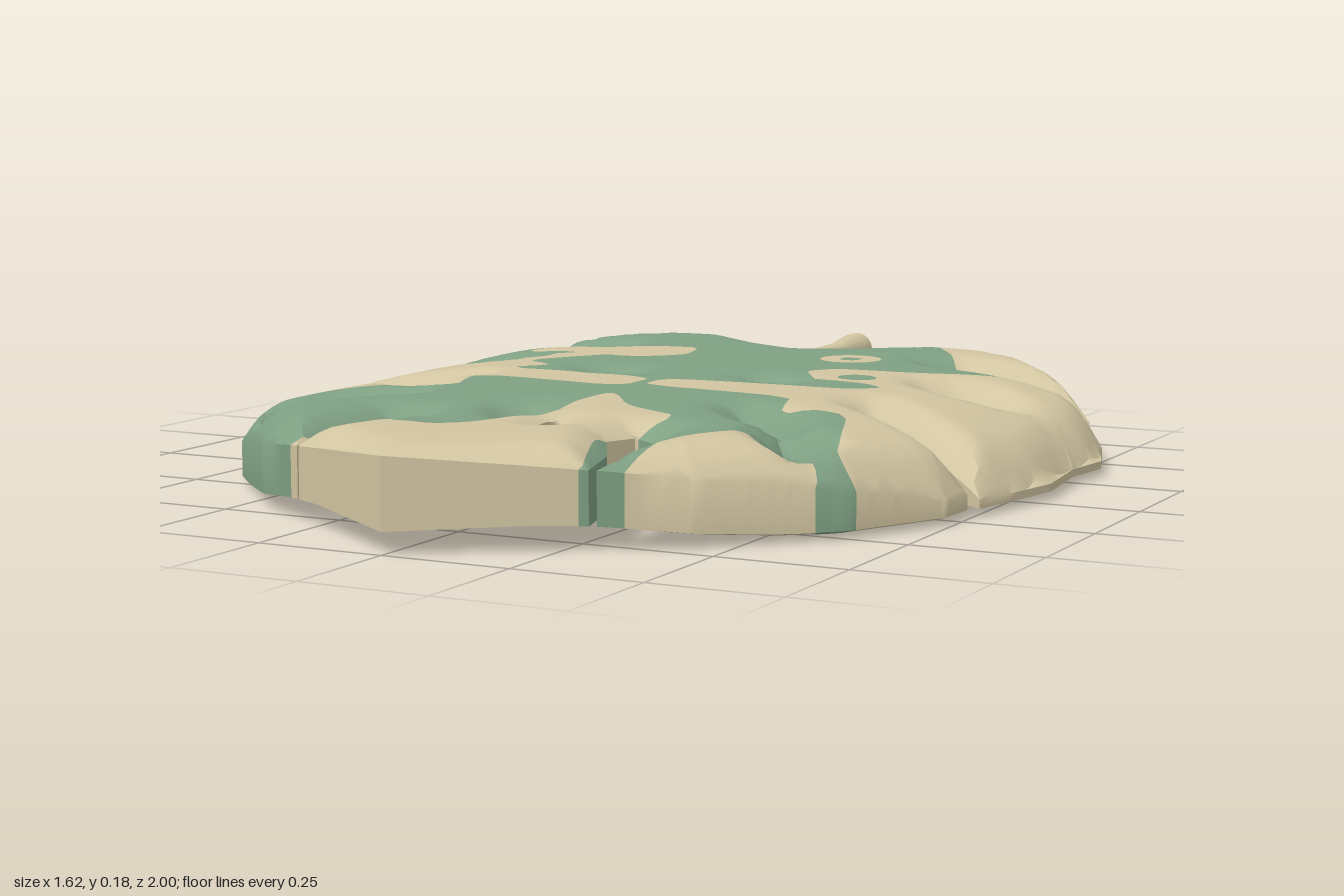
import * as THREE from 'three';
import { toCreasedNormals } from 'three/addons/utils/BufferGeometryUtils.js';

// All plan shapes are [x, z] pairs. The rim is mirrored except for its middle stretch.
const backRim = [[0.1, -0.75], [0.23, -0.86], [0.37, -0.87], [0.5, -0.82], [0.62, -0.71], [0.69, -0.613],
  [0.4, -0.63], [0.37, -0.585], [0.4, -0.555], [0.7, -0.575], [0.76, -0.49], [0.805, -0.35]];
const frontRim = [[0.745, 0.21], [0.74, 0.3], [0.64, 0.5], [0.44, 0.71], [0.305, 0.8], [0.3, 0.66],
  [0.28, 0.52], [0.22, 0.5], [0.2, 0.57], [0.26, 0.68], [0.295, 0.81]];
const rightMiddle = [[0.79, -0.23], [0.81, -0.05], [0.76, 0.19], [0.47, 0], [0.47, 0.04]];
const leftMiddle = [[-0.6, 0.115], [-0.42, 0], [-0.61, 0.1], [-0.745, 0.19], [-0.81, -0.05],
  [-0.77, -0.175], [-0.52, -0.26], [-0.81, -0.23]];
const mirrored = (rim) => rim.map(([x, z]) => [-x, z]).reverse();
const outline = [[0, -0.69], ...backRim, ...rightMiddle, ...frontRim, [0, 1],
  ...mirrored(frontRim), ...leftMiddle, ...mirrored(backRim)];

// Oval holes: x, z, half length, half width, turn
const holes = [
  [0.545, -0.3, 0.08, 0.05, 0.2], [-0.55, -0.315, 0.06, 0.03, 0], [-0.165, -0.15, 0.036, 0.026, 0.3],
  [0.18, -0.16, 0.03, 0.012, 0.2], [0.37, 0.28, 0.1, 0.025, 0.75], [0.505, 0.45, 0.08, 0.025, 0.95],
  [-0.53, 0.48, 0.065, 0.018, -1.15], [-0.445, 0.345, 0.075, 0.018, -0.6], [-0.44, 0.16, 0.035, 0.015, 0.2],
  [-0.08, 0.57, 0.065, 0.014, -1.25], [0.06, 0.53, 0.045, 0.018, 1.3],
].map(([x, z, a, b, turn]) => new THREE.EllipseCurve(x, z, a, b, 0, Math.PI * 2, false, turn)
  .getPoints(8).slice(0, 8).map((p) => [p.x, p.y]));

// Cream patches on the green blade
const backLobe = [[0.21, -0.9], [0.42, -0.59], [0.85, -0.59], [0.85, -0.95]];
const backSliver = [[-0.25, -0.87], [-0.08, -0.72], [-0.2, -0.9]];
const rightPatch = [[0.6, -0.59], [0.58, -0.52], [0.4, -0.37], [0.24, -0.34], [0.2, -0.28], [0.27, -0.175],
  [0.38, -0.17], [0.43, -0.14], [0.37, -0.07], [0, -0.045], [0, 0.06], [0.34, 0.09], [0.37, 0.21],
  [0.5, 0.19], [0.62, 0.52], [0.95, 0.35], [0.95, -0.59]];
const leftBlob = [[-0.54, -0.42], [-0.51, -0.5], [-0.38, -0.46], [-0.27, -0.53], [-0.17, -0.54], [-0.14, -0.41],
  [-0.23, -0.33], [-0.42, -0.38]];
const leftPatch = [[-1, -0.17], [-0.55, -0.22], [-0.36, -0.38], [-0.29, -0.35], [-0.41, -0.2], [-0.31, -0.14],
  [-0.39, -0.065], [-0.025, -0.045], [-0.025, 0.1], [-0.37, 0.06], [-0.38, 0.21], [-0.72, 0.34], [-1, 0.4]];
const tipPatch = [[0, 0.17], [0.12, 0.34], [0.27, 0.42], [0.19, 0.58], [0.3, 0.85], [0, 1.2], [-0.4, 0.88],
  [-0.25, 0.67], [-0.13, 0.71], [0, 0.45]];
const frontLobe = [[0.39, 0.56], [0.45, 0.46], [0.62, 0.54], [0.48, 0.8], [0.33, 0.84]];

// Trim each corner of a closed polygon
const soften = (poly) => poly.flatMap(([ax, az], i) => {
  const [bx, bz] = poly[(i + 1) % poly.length];
  return [0.15, 0.85].map((t) => [ax + (bx - ax) * t, az + (bz - az) * t]);
});
const patches = [backLobe, backSliver, rightPatch, leftBlob, leftPatch, tipPatch, frontLobe].map(soften);

// Distance to a closed polygon's edge
function edgeDistance(poly, [x, z]) {
  let best = Infinity;
  poly.forEach(([ax, az], i) => {
    const [bx, bz] = poly[(i + 1) % poly.length];
    const dx = bx - ax, dz = bz - az;
    const t = THREE.MathUtils.clamp(((x - ax) * dx + (z - az) * dz) / (dx * dx + dz * dz), 0, 1);
    best = Math.min(best, Math.hypot(x - ax - t * dx, z - az - t * dz));
  });
  return best;
}

function inside(poly, [x, z]) {
  let hit = false;
  poly.forEach(([ax, az], i) => {
    const [bx, bz] = poly[(i + 1) % poly.length];
    if ((az > z) !== (bz > z) && x < ax + (bx - ax) * (z - az) / (bz - az)) hit = !hit;
  });
  return hit;
}

// Positive where the blade is cream, with a ring and a spot on the right
function creamField(p) {
  const disc = (x, z, r) => r - Math.hypot(p[0] - x, p[1] - z);
  let f = disc(0.2, -0.505, 0.065);
  for (const poly of patches) f = Math.max(f, edgeDistance(poly, p) * (inside(poly, p) ? 1 : -1));
  return Math.min(f, -disc(0.2, -0.505, 0.025), -disc(0.33, -0.24, 0.04));
}

// Cut a convex polygon by the zero line of a field
function split(poly, field) {
  const v = poly.map(field);
  if (v.every((f) => f >= 0)) return [poly, null];
  if (v.every((f) => f <= 0)) return [null, poly];
  const pos = [], neg = [];
  poly.forEach((a, i) => {
    const j = (i + 1) % poly.length, b = poly[j];
    if (v[i] >= 0) pos.push(a);
    if (v[i] <= 0) neg.push(a);
    if (v[i] * v[j] < 0) {
      const t = v[i] / (v[i] - v[j]);
      const c = [a[0] + (b[0] - a[0]) * t, a[1] + (b[1] - a[1]) * t];
      pos.push(c);
      neg.push(c);
    }
  });
  return [pos, neg];
}

// Arched upper and lower heights, rolled over at the rims and slits
function heights(p) {
  const d = Math.min(...[outline, ...holes].map((poly) => edgeDistance(poly, p)));
  const ax = Math.abs(p[0]), roll = Math.max(0, 1 - d / 0.085) ** 2, side = Math.min(1, ax / 0.5);
  const dent = 0.05 * Math.exp(-(((p[0] + 0.06) / 0.05) ** 2) - ((p[1] - 0.42) / 0.07) ** 2);
  const bottom = 0.04 * (1 - THREE.MathUtils.smoothstep(ax, 0.2, 0.6)) + 0.015 * roll * side;
  const top = 0.182 - 0.12 * (ax / 0.81) ** 5 - dent - roll * (0.012 + 0.05 * side);
  return [Math.max(top, bottom + 0.015), bottom];
}

function bladeGeometry() {
  const vec = (poly) => poly.map(([x, z]) => new THREE.Vector2(x, z));
  const points = [...outline, ...holes.flat()];
  let pieces = THREE.ShapeUtils.triangulateShape(vec(outline), holes.map(vec)).map((f) => f.map((i) => points[i]));
  // Fine grid so that the blade can curve
  for (const axis of [0, 1]) {
    for (let s = -1.0125; s < 1.02; s += 0.025) {
      pieces = pieces.flatMap((p) => split(p, (q) => q[axis] - s).filter(Boolean));
    }
  }
  const cache = new Map(), key = (p) => `${Math.round(p[0] * 1e5)},${Math.round(p[1] * 1e5)}`;
  const height = (p) => {
    const k = key(p);
    if (!cache.has(k)) cache.set(k, heights(p));
    return cache.get(k);
  };
  const top = (p) => [p[0], height(p)[0], p[1]], low = (p) => [p[0], height(p)[1], p[1]];
  const tris = [[], []], edges = new Map();
  for (const piece of pieces) {
    split(piece, creamField).forEach((part, colour) => {
      if (!part) return;
      const area = THREE.ShapeUtils.area(vec(part));
      if (Math.abs(area) < 1e-9) return;
      const poly = area > 0 ? [...part].reverse() : part;
      for (let i = 1; i < poly.length - 1; i++) {
        const [a, b, c] = [poly[0], poly[i], poly[i + 1]];
        tris[colour].push(...top(a), ...top(b), ...top(c), ...low(a), ...low(c), ...low(b));
      }
      poly.forEach((a, i) => {
        const b = poly[(i + 1) % poly.length], ka = key(a), kb = key(b);
        if (ka !== kb && !edges.delete(`${kb}|${ka}`)) edges.set(`${ka}|${kb}`, [a, b, colour]);
      });
    });
  }
  // Walls along every unshared edge
  for (const [a, b, colour] of edges.values()) {
    tris[colour].push(...low(a), ...low(b), ...top(b), ...low(a), ...top(b), ...top(a));
  }
  const flat = new THREE.BufferGeometry();
  flat.setAttribute('position', new THREE.Float32BufferAttribute(tris[0].concat(tris[1]), 3));
  const geometry = toCreasedNormals(flat, 0.7);
  geometry.addGroup(0, tris[0].length / 3, 0);
  geometry.addGroup(tris[0].length / 3, tris[1].length / 3, 1);
  return geometry;
}

export function createModel() {
  const cream = new THREE.MeshStandardMaterial({ color: 0xd2c5a1 });
  cream.name = 'cream';
  const green = new THREE.MeshStandardMaterial({ color: 0x7fa083 });
  green.name = 'leaf green';

  const group = new THREE.Group();
  group.name = 'splitLeaf';
  const blade = new THREE.Mesh(bladeGeometry(), [cream, green]);
  blade.name = 'leafBlade';
  group.add(blade);

  // Stem flaring at its free end
  const profile = [[0, 0], [0.03, 0], [0.025, 0.1], [0.026, 0.2], [0.037, 0.29], [0.037, 0.32], [0, 0.32]];
  const stemShape = new THREE.LatheGeometry(profile.map(([r, y]) => new THREE.Vector2(r, y)), 16);
  const stem = new THREE.Mesh(toCreasedNormals(stemShape, 0.7), cream);
  stem.name = 'stem';
  stem.rotation.x = -Math.PI / 2;
  stem.position.set(0, 0.14, -0.68);
  group.add(stem);
  return group;
}
